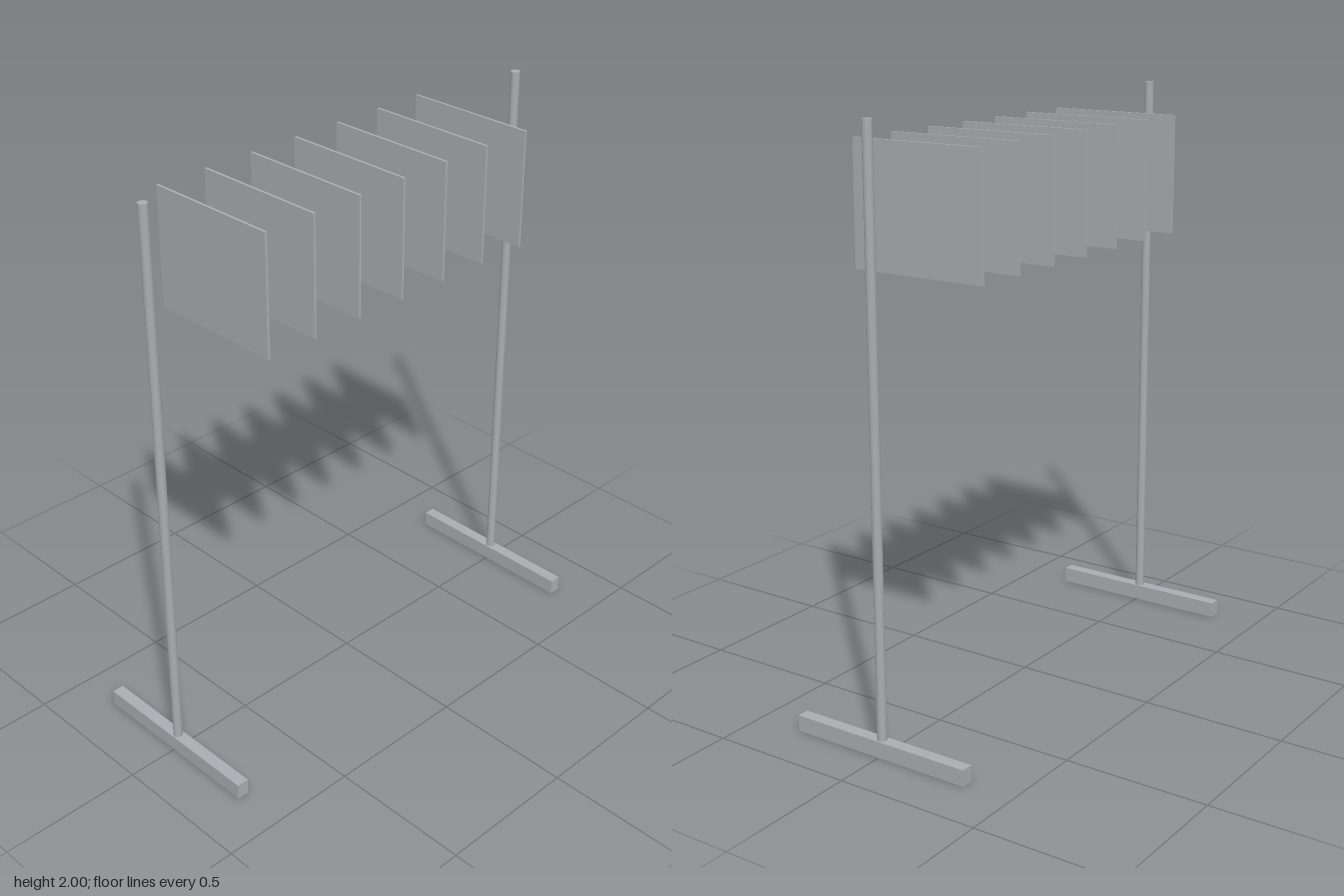
import * as THREE from 'three';

export function createModel() {
  const model = new THREE.Group();
  const grey = new THREE.MeshStandardMaterial({ color: 0xa9acb1 });
  grey.name = 'light grey';

  const add = (name, geometry, x, y, z) => {
    const mesh = new THREE.Mesh(geometry, grey);
    mesh.name = name;
    mesh.position.set(x, y, z);
    model.add(mesh);
  };

  // Two stands: a floor bar with a tall round post
  const footGeometry = new THREE.BoxGeometry(0.042, 0.055, 0.664);
  const postGeometry = new THREE.CylinderGeometry(0.016, 0.016, 1.945, 24);
  for (const [side, x] of [['left', 0.8], ['right', -0.8]]) {
    add(side + 'Foot', footGeometry, x, 0.0275, 0);
    add(side + 'Post', postGeometry, x, 0.055 + 1.945 / 2, 0);
  }

  // Row of thin hanging panels between the posts
  const panelGeometry = new THREE.BoxGeometry(0.009, 0.41, 0.486);
  for (let i = 0; i < 7; i++) {
    add('panel' + (i + 1), panelGeometry, 0.008 + (i - 3) * 0.1887, 1.707, 0);
  }

  return model;
}
